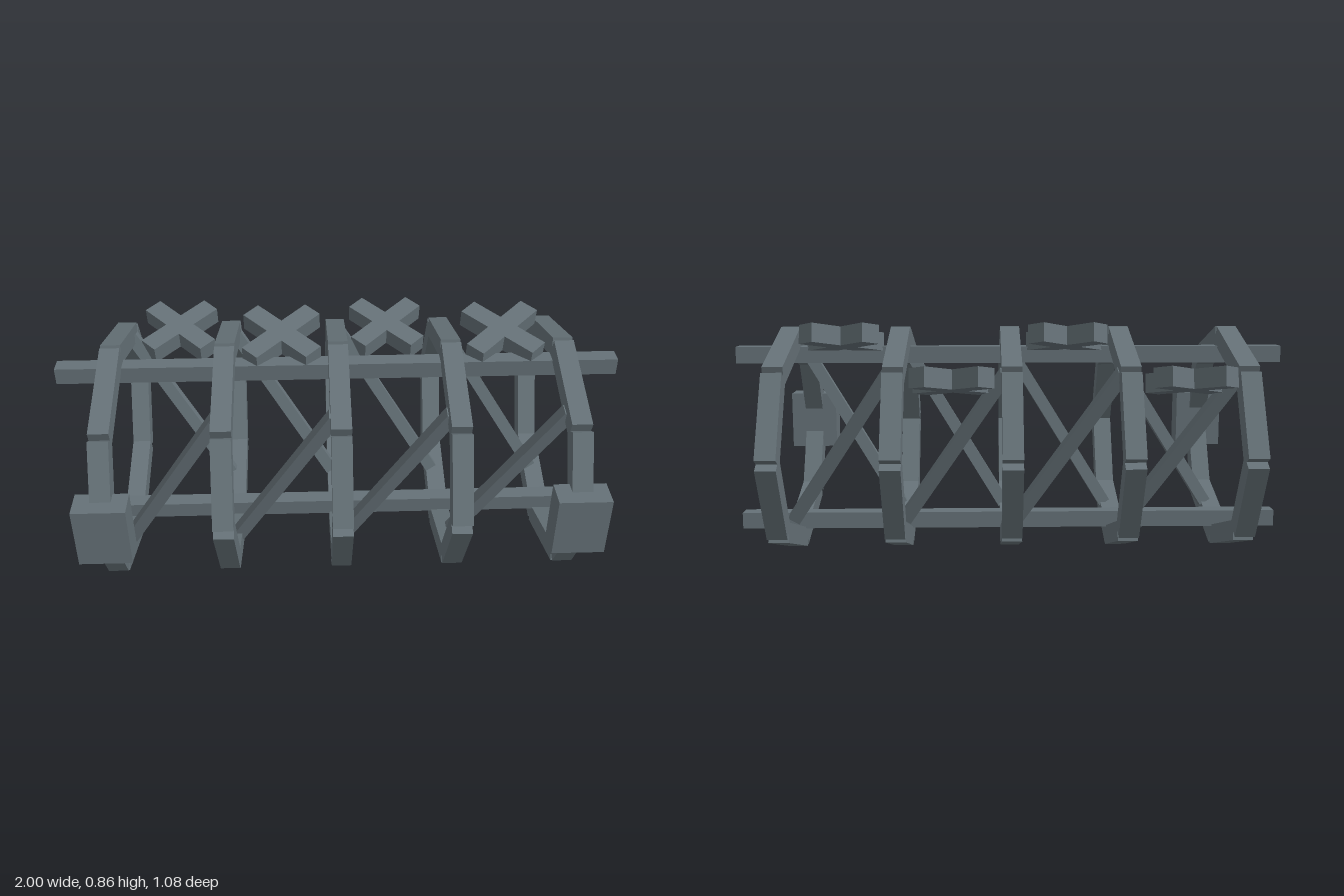
import * as THREE from 'three';

const steel = new THREE.MeshStandardMaterial({ color: 0x657177 });
steel.name = 'slate steel';

const CENTRE_Y = 0.416;
const RING_X = [-0.8, -0.4, 0, 0.4, 0.8];

function box(name, w, h, d, x = 0, y = 0, z = 0) {
  const mesh = new THREE.Mesh(new THREE.BoxGeometry(w, h, d), steel);
  mesh.name = name;
  mesh.position.set(x, y, z);
  return mesh;
}

// Square bar running from a to b, with one pair of sides parallel to the x axis
function bar(name, a, b, size) {
  const mesh = box(name, size, a.distanceTo(b), size);
  const dir = b.clone().sub(a).normalize();
  const depth = new THREE.Vector3(1, 0, 0).cross(dir).normalize();
  const side = dir.clone().cross(depth);
  mesh.quaternion.setFromRotationMatrix(new THREE.Matrix4().makeBasis(side, dir, depth));
  mesh.position.copy(a).add(b).multiplyScalar(0.5);
  return mesh;
}

// Eight straight bars around an ellipse
function ring(x) {
  const group = new THREE.Group();
  group.name = 'ringFrame';
  const corner = (i) => {
    const t = (i * Math.PI) / 4;
    return new THREE.Vector3(x, CENTRE_Y + 0.38 * Math.sin(t), 0.51 * Math.cos(t));
  };
  for (let i = 0; i < 8; i++) group.add(bar('ringSegment', corner(i), corner(i + 1), 0.07));
  return group;
}

// Two crossed bars, tilted up towards the back
function cross(x, y, z) {
  const group = new THREE.Group();
  group.name = 'roofCross';
  for (const s of [-1, 1]) {
    const arm = box('crossArm', 0.32, 0.067, 0.075);
    arm.rotation.y = (s * Math.PI) / 4;
    group.add(arm);
  }
  group.position.set(x, y, z);
  group.rotation.x = 0.22;
  return group;
}

export function createModel() {
  const model = new THREE.Group();
  model.name = 'ringTruss';

  for (const x of RING_X) model.add(ring(x));

  // Long beams along the top and bottom
  model.add(box('topBeam', 2, 0.06, 0.06, 0, 0.728, 0));
  model.add(box('bottomBeam', 2, 0.06, 0.06, 0, 0.106, 0));

  // Opposed diagonal braces in each bay
  for (let i = 0; i < 4; i++) {
    const l = RING_X[i] + 0.02;
    const r = RING_X[i + 1] - 0.02;
    model.add(bar('frontBrace', new THREE.Vector3(l, 0.12, 0.188), new THREE.Vector3(r, 0.7, 0.268), 0.045));
    model.add(bar('backBrace', new THREE.Vector3(l, 0.69, -0.318), new THREE.Vector3(r, 0.148, -0.165), 0.045));
  }

  // Mounting blocks on the end rings
  for (const x of [-0.8, 0.8]) model.add(box('endBlock', 0.18, 0.22, 0.1, x, CENTRE_Y, 0.494));

  // Crosses staggered over the back of the roof
  for (const x of [-0.6, 0.2]) {
    model.add(cross(x, 0.671, -0.382));
    model.add(cross(x + 0.4, 0.795, -0.105));
  }

  return model;
}
